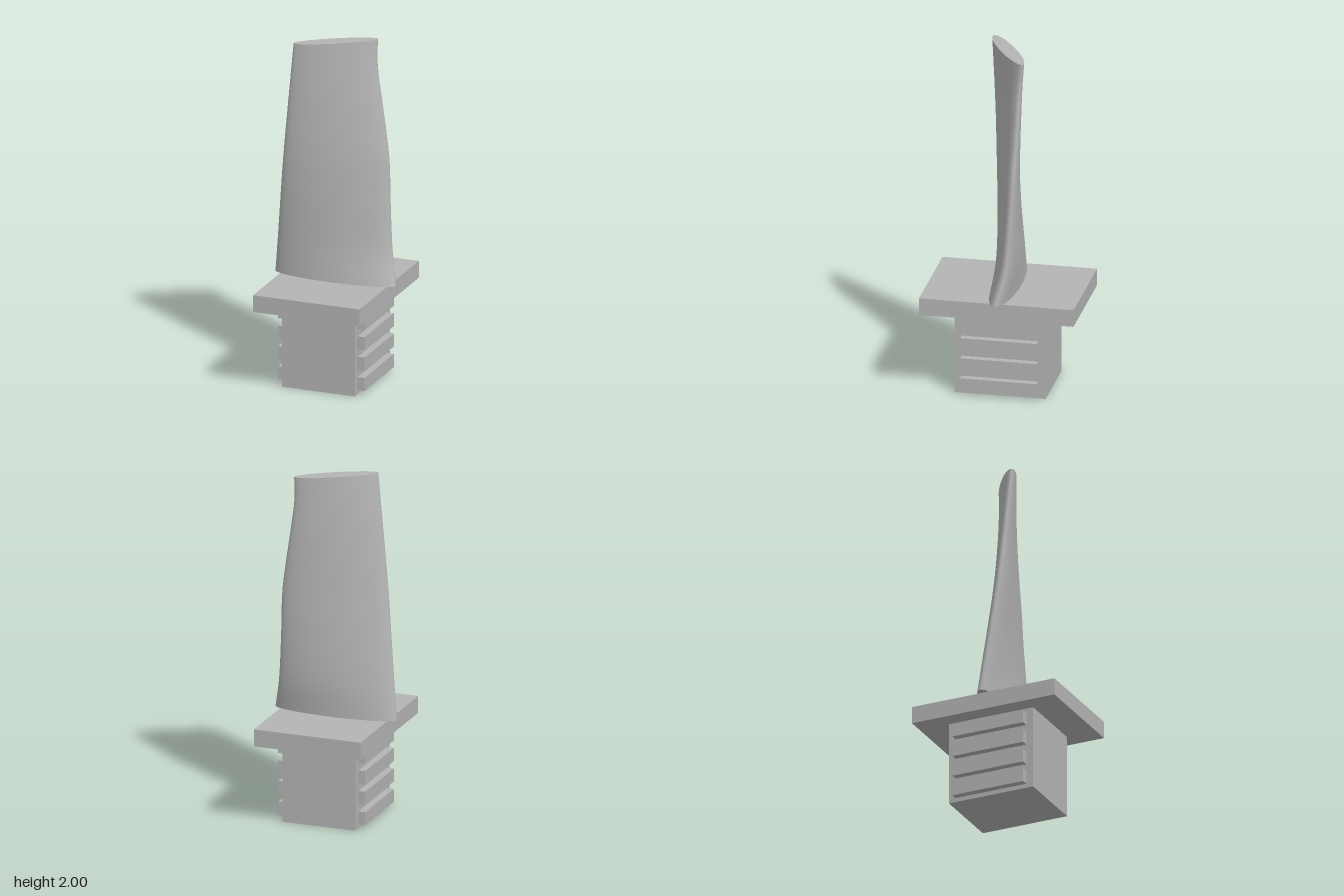
import * as THREE from 'three';

const BASE = 0.59, TOP = 2;

// Twisted blade: elliptical sections spanning a leading and a trailing edge curve
function bladeGeometry() {
  const curve = (pts) => new THREE.CatmullRomCurve3(pts.map((p) => new THREE.Vector3(...p)));
  const left = curve([
    [-0.365, BASE, 0], [-0.326, 0.94, 0.042], [-0.287, 1.3, 0.08], [-0.247, 1.65, 0.103], [-0.207, TOP, 0.123],
  ]);
  const right = curve([
    [0.363, BASE, 0], [0.325, 0.77, -0.045], [0.303, 1.05, -0.07], [0.29, 1.3, -0.085],
    [0.265, 1.48, -0.095], [0.236, 1.66, -0.103], [0.207, 1.86, -0.112], [0.203, TOP, -0.125],
  ]);
  // Point of an edge curve at a given height
  const atHeight = (c, y) => {
    let lo = 0, hi = 1;
    for (let i = 0; i < 24; i++) {
      const mid = (lo + hi) / 2;
      if (c.getPoint(mid).y < y) lo = mid; else hi = mid;
    }
    return c.getPoint((lo + hi) / 2);
  };

  const rows = 48, sides = 64, pos = [], index = [];
  for (let j = 0; j <= rows; j++) {
    const t = j / rows, y = BASE + (TOP - BASE) * t;
    const l = atHeight(left, y), r = atHeight(right, y);
    const ux = (r.x - l.x) / 2, uz = (r.z - l.z) / 2, len = Math.hypot(ux, uz);
    const thick = THREE.MathUtils.lerp(0.078, 0.045, t) / len;
    for (let i = 0; i < sides; i++) {
      const a = (i / sides) * Math.PI * 2, c = Math.cos(a), s = Math.sin(a) * thick;
      pos.push((l.x + r.x) / 2 + ux * c - uz * s, y, (l.z + r.z) / 2 + uz * c + ux * s);
    }
  }
  for (let j = 0; j < rows; j++) {
    for (let i = 0; i < sides; i++) {
      const a = j * sides + i, b = j * sides + ((i + 1) % sides);
      index.push(a, a + sides, b, b, a + sides, b + sides);
    }
  }
  // Flat end caps with their own vertices
  for (const row of [0, rows]) {
    const first = pos.length / 3;
    pos.push(...pos.slice(row * sides * 3, (row + 1) * sides * 3));
    for (let i = 1; i < sides - 1; i++) {
      if (row) index.push(first, first + i + 1, first + i);
      else index.push(first, first + i, first + i + 1);
    }
  }
  const g = new THREE.BufferGeometry();
  g.setAttribute('position', new THREE.Float32BufferAttribute(pos, 3));
  g.setIndex(index);
  g.computeVertexNormals();
  return g;
}

export function createModel() {
  const group = new THREE.Group();
  const metal = new THREE.MeshStandardMaterial({ color: 0xb4b4b4 });
  metal.name = 'grey metal';

  const add = (name, geometry, x = 0, y = 0, z = 0) => {
    const mesh = new THREE.Mesh(geometry, metal);
    mesh.name = name;
    mesh.position.set(x, y, z);
    group.add(mesh);
  };

  add('blade', bladeGeometry());
  add('platform', new THREE.BoxGeometry(0.644, 0.1, 0.886), 0, 0.54, 0);
  add('root', new THREE.BoxGeometry(0.44, 0.49, 0.524), 0, 0.245, 0);

  // Retaining ridges along both sides of the root
  const ridge = new THREE.BoxGeometry(0.06, 0.077, 0.44);
  for (const side of [-1, 1]) {
    for (let i = 0; i < 4; i++) {
      add(`${side > 0 ? 'left' : 'right'}Ridge${i + 1}`, ridge, side * 0.232, 0.063 + i * 0.1213, 0);
    }
  }
  return group;
}
